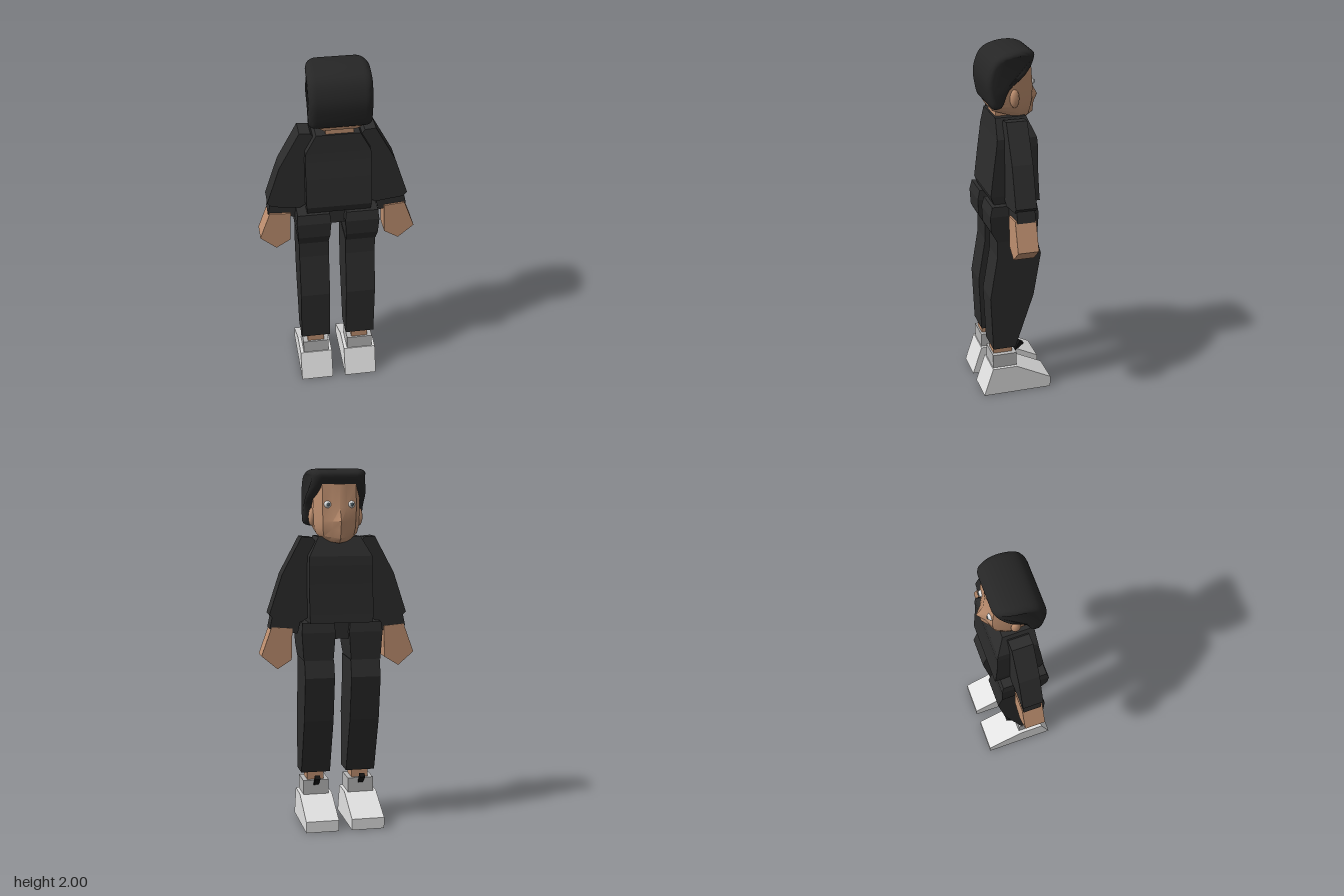
import * as THREE from 'three';
import { toCreasedNormals } from 'three/addons/utils/BufferGeometryUtils.js';

const mat = (name, color) => {
  const m = new THREE.MeshStandardMaterial({ color });
  m.name = name;
  return m;
};

// Closed skin through rings of points, listed bottom to top, flat shaded
function loft(rings) {
  const p = [], n = rings[0].length, top = rings[rings.length - 1], low = rings[0];
  for (let i = 0; i < rings.length - 1; i++) {
    for (let j = 0; j < n; j++) {
      const k = (j + 1) % n;
      const a = rings[i][j], b = rings[i][k], c = rings[i + 1][k], d = rings[i + 1][j];
      p.push(...a, ...b, ...c, ...a, ...c, ...d);
    }
  }
  for (let j = 1; j < n - 1; j++) {
    p.push(...top[0], ...top[j], ...top[j + 1], ...low[0], ...low[j + 1], ...low[j]);
  }
  const g = new THREE.BufferGeometry();
  g.setAttribute('position', new THREE.Float32BufferAttribute(p, 3));
  g.computeVertexNormals();
  return g;
}

// Four-cornered ring: height, half width, back z, front z
const rect = ([y, w, back, front]) => [[-w, y, back], [w, y, back], [w, y, front], [-w, y, front]];
const rectLoft = (rows) => loft(rows.map(rect));

// Outline in x,y pushed along z
function slabZ(points, z0, z1) {
  const shape = new THREE.Shape(points.map(([x, y]) => new THREE.Vector2(x, y)));
  return new THREE.ExtrudeGeometry(shape, { depth: z1 - z0, bevelEnabled: false }).translate(0, 0, z0);
}

// Outline in z,y pushed along x, centred
function slabX(points, width) {
  const shape = new THREE.Shape(points.map(([z, y]) => new THREE.Vector2(-z, y)));
  return new THREE.ExtrudeGeometry(shape, { depth: width, bevelEnabled: false })
    .rotateY(Math.PI / 2).translate(-width / 2, 0, 0);
}

function headGeometry() {
  // height, slope, half width, back, cheek and centre z
  const rows = [
    [1.634, 0.33, 0.09, 0.11, -0.07, -0.105],
    [1.66, 0.25, 0.115, 0.115, -0.09, -0.14],
    [1.69, 0.1, 0.125, 0.115, -0.1, -0.145],
    [1.72, 0, 0.127, 0.115, -0.107, -0.165],
    [1.79, 0, 0.13, 0.115, -0.11, -0.127],
    [1.92, 0, 0.13, 0.1, -0.1, -0.115],
  ];
  return toCreasedNormals(loft(rows.map(([y, s, w, back, cheek, mid]) => {
    const side = cheek * 0.6 + mid * 0.4;
    return [[-w, back], [w, back], [w, -0.03], [w * 0.72, cheek], [0.04, side], [0, mid],
      [-0.04, side], [-w * 0.72, cheek], [-w, -0.03]].map(([x, z]) => [x, y + s * z, z]);
  })), 0.6);
}

function hairGeometry() {
  const outline = [[0.155, 1.86], [0.15, 1.77], [0.125, 1.695], [0.075, 1.695], [0.03, 1.79],
    [-0.06, 1.865], [-0.105, 1.93], [-0.113, 1.975], [-0.07, 1.998], [0.04, 1.992], [0.115, 1.955]];
  const curve = new THREE.CatmullRomCurve3(outline.map(([z, y]) => new THREE.Vector3(-z, y, 0)), true);
  const pts = curve.getPoints(44).slice(0, -1).map((v) => new THREE.Vector2(v.x, v.y));
  const g = new THREE.ExtrudeGeometry(new THREE.Shape(pts), {
    depth: 0.25, bevelThickness: 0.043, bevelSize: 0.028, bevelOffset: -0.028, bevelSegments: 5,
  }).rotateY(Math.PI / 2).translate(-0.125, 0, 0);
  // Narrow the fringe
  const p = g.attributes.position;
  for (let i = 0; i < p.count; i++) {
    const t = THREE.MathUtils.clamp((0.02 - p.getZ(i)) / 0.135, 0, 1);
    p.setX(i, p.getX(i) * (1 - 0.22 * t * t));
  }
  return toCreasedNormals(g, 1.0);
}

export function createModel() {
  const skin = mat('skin', 0xbf9070);
  const cloth = mat('black cloth', 0x2c2c2c);
  const hairMat = mat('black hair', 0x262626);
  const shoeMat = mat('light shoe', 0xe2e2e2);
  const collarMat = mat('grey shoe collar', 0xb8b8b8);
  const white = mat('eye white', 0xdedede);
  const iris = mat('iris', 0x51636b);
  const black = mat('black lace', 0x121212);

  const model = new THREE.Group();
  model.name = 'figure';
  const add = (parent, name, geometry, material) => {
    const m = new THREE.Mesh(geometry, material);
    m.name = name;
    parent.add(m);
    return m;
  };
  const group = (name, x) => {
    const g = new THREE.Group();
    g.name = name;
    g.position.x = x;
    model.add(g);
    return g;
  };

  // Head
  const head = group('head', 0.004);
  add(head, 'face', headGeometry(), skin);
  add(head, 'hair', hairGeometry(), hairMat);
  add(head, 'neck', new THREE.BoxGeometry(0.15, 0.1, 0.12).translate(0, 1.64, 0.03), skin);
  for (const s of [-1, 1]) {
    const ear = add(head, 'ear', new THREE.SphereGeometry(1, 12, 8), skin);
    ear.scale.set(0.02, 0.05, 0.026);
    ear.position.set(s * 0.133, 1.74, 0);
    const eye = add(head, 'eye', new THREE.SphereGeometry(0.02, 14, 10), white);
    eye.position.set(s * 0.066, 1.81, -0.107);
    const pupil = add(head, 'iris', new THREE.SphereGeometry(0.01, 10, 8), iris);
    pupil.scale.z = 0.4;
    pupil.position.set(s * 0.066, 1.81, -0.126);
  }

  // Sweater body and pelvis
  const body = group('body', -0.005);
  add(body, 'sweater', rectLoft([
    [1.165, 0.175, 0.125, -0.135], [1.21, 0.178, 0.143, -0.13], [1.38, 0.178, 0.123, -0.12],
    [1.48, 0.178, 0.11, -0.12], [1.53, 0.175, 0.105, -0.115], [1.635, 0.118, 0.1, -0.07],
  ]), cloth);
  add(body, 'pelvis', new THREE.BoxGeometry(0.14, 0.11, 0.18).translate(-0.005, 1.125, 0.01), cloth);

  for (const s of [-1, 1]) {
    // Arm
    const arm = group(s > 0 ? 'leftArm' : 'rightArm', -0.003);
    const side = (pts) => pts.map(([x, y]) => [s * x, y]);
    add(arm, 'sleeve', slabZ(side([[0.13, 1.61], [0.145, 1.63], [0.205, 1.635], [0.315, 1.43],
      [0.387, 1.21], [0.365, 1.185], [0.21, 1.165], [0.17, 1.19], [0.17, 1.5]]), -0.05, 0.065), cloth);
    add(arm, 'cuff', slabZ(side([[0.21, 1.19], [0.37, 1.2], [0.385, 1.13], [0.23, 1.1]]), -0.045, 0.055), cloth);
    add(arm, 'hand', slabZ(side([[0.26, 1.13], [0.375, 1.14], [0.433, 0.98], [0.345, 0.905],
      [0.265, 0.955]]), -0.05, 0.065), skin);

    // Leg
    const leg = group(s > 0 ? 'leftLeg' : 'rightLeg', s * 0.13 - 0.0125);
    add(leg, 'trouserLeg', rectLoft([
      [0.29, 0.083, 0.14, 0.01], [0.61, 0.083, 0.155, -0.095], [0.86, 0.083, 0.115, -0.135],
      [0.955, 0.083, 0.115, -0.11],
    ]), cloth);
    add(leg, 'hip', rectLoft([
      [0.955, 0.083, 0.115, -0.11], [1.02, 0.088, 0.152, -0.112], [1.11, 0.094, 0.157, -0.115],
      [1.165, 0.088, 0.145, -0.105],
    ]), cloth).position.x = s * 0.003;
    add(leg, 'ankle', new THREE.BoxGeometry(0.095, 0.14, 0.11).translate(0, 0.27, 0.075), skin);

    // Shoe
    add(leg, 'shoeCollar', new THREE.BoxGeometry(0.148, 0.09, 0.14).translate(0, 0.2, 0.07), collarMat);
    add(leg, 'shoe', slabX([[0.198, 0], [0.145, 0.165], [0.005, 0.165], [-0.2, 0.063], [-0.2, 0]], 0.186), shoeMat);
    add(leg, 'lace', slabX([[0.002, 0.215], [-0.035, 0.28], [-0.06, 0.265]], 0.03), black);
  }
  return model;
}
